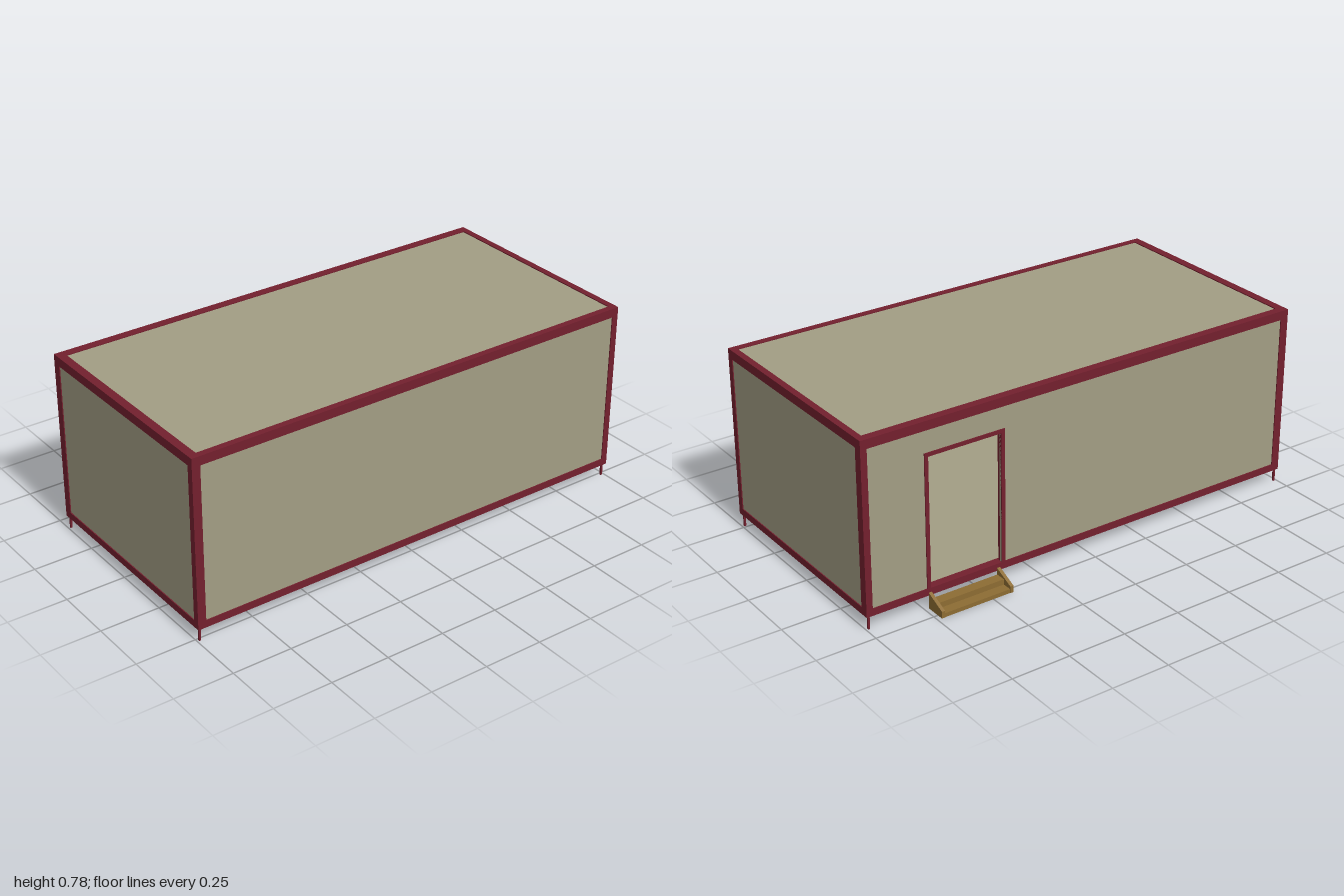
import * as THREE from 'three';

const panelMat = new THREE.MeshStandardMaterial({ color: 0xa29e84 });
panelMat.name = 'putty panel';
const frameMat = new THREE.MeshStandardMaterial({ color: 0x73202e });
frameMat.name = 'maroon frame';
const woodMat = new THREE.MeshStandardMaterial({ color: 0x8d6c33 });
woodMat.name = 'brown wood';

// Outer limits of the cabin, and of its panels inside the frame
const X0 = -0.44, X1 = 0.525, Y0 = 0.055, Y1 = 0.775, Z0 = -1, Z1 = 1;
const PX0 = -0.405, PX1 = 0.498, PY0 = 0.085, PY1 = 0.737, PZ0 = -0.973, PZ1 = 0.965;
const INSET = 0.004, THICK = 0.01;
// Door opening in the -x wall
const DZ0 = -0.72, DZ1 = -0.4, DY1 = 0.63;

export function createModel() {
  const model = new THREE.Group();
  model.name = 'cabin';

  const box = (parent, name, mat, x0, x1, y0, y1, z0, z1) => {
    const mesh = new THREE.Mesh(new THREE.BoxGeometry(x1 - x0, y1 - y0, z1 - z0), mat);
    mesh.position.set((x0 + x1) / 2, (y0 + y1) / 2, (z0 + z1) / 2);
    mesh.name = name;
    parent.add(mesh);
    return mesh;
  };

  // Frame: corner posts, then rails between them at top and bottom
  const frame = new THREE.Group();
  frame.name = 'frame';
  model.add(frame);
  const xBands = [[X0, PX0], [PX1, X1]];
  const yBands = [[Y0, PY0], [PY1, Y1]];
  const zBands = [[Z0, PZ0], [PZ1, Z1]];
  for (const x of xBands) for (const z of zBands) box(frame, 'cornerPost', frameMat, ...x, Y0, Y1, ...z);
  for (const y of yBands) {
    for (const x of xBands) box(frame, 'longRail', frameMat, ...x, ...y, PZ0, PZ1);
    for (const z of zBands) box(frame, 'shortRail', frameMat, PX0, PX1, ...y, ...z);
  }

  // Thin panels set just inside the frame
  box(model, 'roof', panelMat, PX0, PX1, Y1 - INSET - THICK, Y1 - INSET, PZ0, PZ1);
  box(model, 'floor', panelMat, PX0, PX1, Y0 + INSET, PY0, PZ0, PZ1);
  box(model, 'frontWall', panelMat, PX0, PX1, PY0, PY1, Z1 - INSET - THICK, Z1 - INSET);
  box(model, 'backWall', panelMat, PX0, PX1, PY0, PY1, Z0 + INSET, Z0 + INSET + THICK);
  box(model, 'leftWall', panelMat, X1 - INSET - THICK, X1 - INSET, PY0, PY1, PZ0, PZ1);

  // Right wall, in three pieces around the doorway
  const wallX = [X0 + INSET, X0 + INSET + THICK];
  const rightWall = new THREE.Group();
  rightWall.name = 'rightWall';
  model.add(rightWall);
  box(rightWall, 'wallBehindDoor', panelMat, ...wallX, PY0, PY1, PZ0, DZ0);
  box(rightWall, 'wallAheadOfDoor', panelMat, ...wallX, PY0, PY1, DZ1, PZ1);
  box(rightWall, 'wallOverDoor', panelMat, ...wallX, DY1, PY1, DZ0, DZ1);

  // Door frame
  const J = 0.016;
  const doorFrame = new THREE.Group();
  doorFrame.name = 'doorFrame';
  model.add(doorFrame);
  for (const z of [DZ0 - J, DZ1]) box(doorFrame, 'doorJamb', frameMat, X0, X0 + 0.025, PY0, DY1 + J, z, z + J);
  box(doorFrame, 'doorHead', frameMat, X0, X0 + 0.025, DY1, DY1 + J, DZ0, DZ1);

  // Four thin feet
  for (const x of [-0.43, 0.511]) for (const z of [-0.988, 0.988])
    box(model, 'foot', frameMat, x - 0.004, x + 0.004, 0, Y0, z - 0.004, z + 0.004);

  // Entry steps: sloping sides with two treads between them
  const steps = new THREE.Group();
  steps.name = 'entrySteps';
  model.add(steps);
  const side = new THREE.Shape([[-0.528, 0], [-0.441, 0], [-0.441, 0.068], [-0.528, 0.029]]
    .map(([x, y]) => new THREE.Vector2(x, y)));
  const sideGeo = new THREE.ExtrudeGeometry(side, { depth: 0.014, bevelEnabled: false });
  for (const z of [-0.732, -0.424]) {
    const mesh = new THREE.Mesh(sideGeo, woodMat);
    mesh.position.z = z;
    mesh.name = 'stepSide';
    steps.add(mesh);
  }
  box(steps, 'lowerTread', woodMat, -0.526, -0.485, 0, 0.017, -0.718, -0.424);
  box(steps, 'upperTread', woodMat, -0.485, -0.442, 0, 0.04, -0.718, -0.424);

  return model;
}
